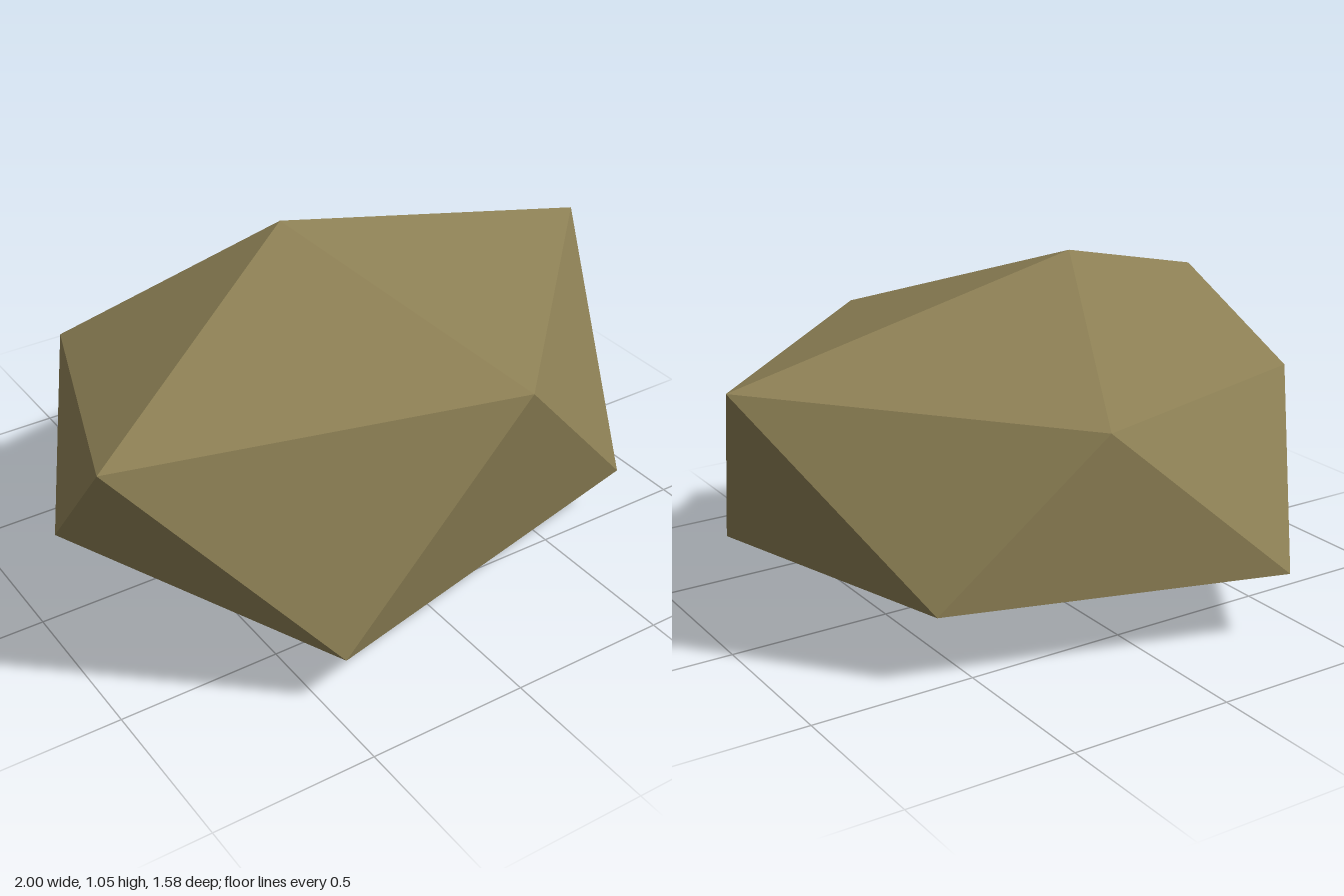
import * as THREE from 'three';

// A faceted boulder: two five-sided rings staggered between a top and a bottom point.
const top = [-0.12, 1.055, -0.06];
const bottom = [-0.12, 0, -0.06];
const upperRing = [[1, 0.8, -0.06], [0.2, 0.77, 0.74], [-1, 0.795, 0.47], [-0.69, 0.69, -0.4], [0.1, 0.67, -0.59]];
const lowerRing = [[0.79, 0.15, 0.49], [-0.45, 0.16, 0.79], [-0.91, 0.245, -0.06], [-0.4, 0.205, -0.79], [0.61, 0.21, -0.5]];

function boulderGeometry() {
  const positions = [];
  const face = (...corners) => corners.forEach((p) => positions.push(...p));
  const n = upperRing.length;
  for (let i = 0; i < n; i++) {
    const j = (i + 1) % n;
    face(top, upperRing[j], upperRing[i]); // cap
    face(upperRing[i], upperRing[j], lowerRing[i]); // side, pointing down
    face(upperRing[j], lowerRing[j], lowerRing[i]); // side, pointing up
    face(bottom, lowerRing[i], lowerRing[j]); // underside
  }
  const geometry = new THREE.BufferGeometry();
  geometry.setAttribute('position', new THREE.Float32BufferAttribute(positions, 3));
  geometry.computeVertexNormals(); // unshared corners keep the facets flat
  return geometry;
}

export function createModel() {
  const group = new THREE.Group();
  group.name = 'rock';
  const stone = new THREE.MeshStandardMaterial({ color: 0x8c7f54, flatShading: true });
  stone.name = 'olive brown stone';
  const boulder = new THREE.Mesh(boulderGeometry(), stone);
  boulder.name = 'boulder';
  group.add(boulder);
  return group;
}
